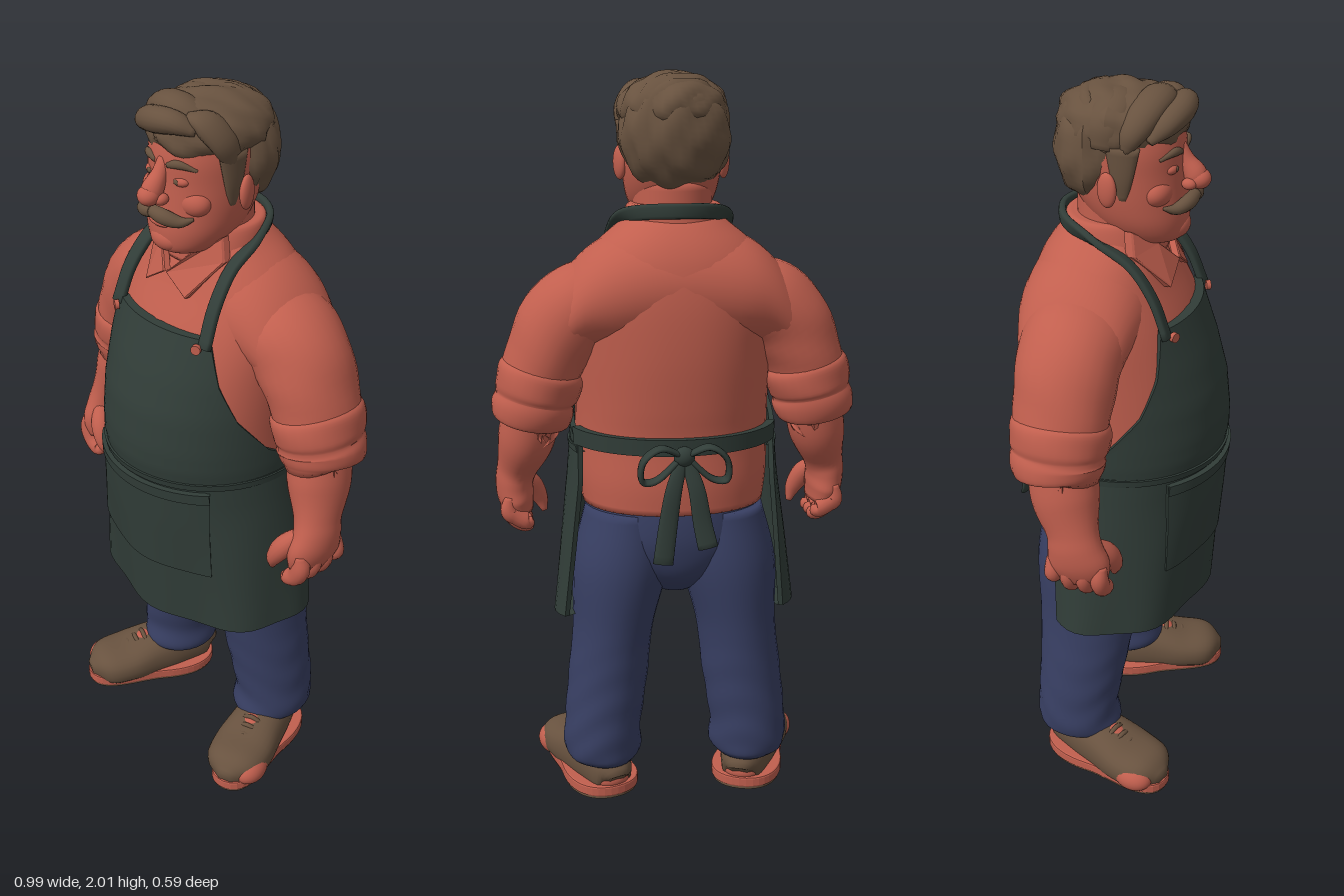
import * as THREE from 'three';
import { toCreasedNormals } from 'three/addons/utils/BufferGeometryUtils.js';

const V = (x, y, z) => new THREE.Vector3(x, y, z);
const UP = V(0, 1, 0), FRONT = V(0, 0, 1);

// Stitch closed rings of points into a skin, with fans at both ends.
function skin(rings) {
  const n = rings[0].length, last = (rings.length - 1) * n, idx = [];
  const pts = rings.flat();
  for (let i = 0; i < rings.length - 1; i++) for (let j = 0; j < n; j++) {
    const a = i * n + j, b = i * n + (j + 1) % n;
    idx.push(a, a + n, b, b, a + n, b + n);
  }
  const mid = ring => ring.reduce((m, p) => m.add(p), V(0, 0, 0)).divideScalar(n);
  const c = pts.length;
  pts.push(mid(rings[0]), mid(rings[rings.length - 1]));
  for (let j = 0; j < n; j++) {
    const k = (j + 1) % n;
    idx.push(c, j, k, c + 1, last + k, last + j);
  }
  const g = new THREE.BufferGeometry().setFromPoints(pts);
  g.setIndex(idx);
  g.computeVertexNormals();
  return g;
}

// Smooth loft through sections [x, y, z, radiusA, radiusB].
function loft(secs, { axis, ref = FRONT, n = 28, steps = 5, power = 1, warp } = {}) {
  const path = new THREE.CatmullRomCurve3(secs.map(s => V(s[0], s[1], s[2])), false, 'catmullrom');
  const size = new THREE.CatmullRomCurve3(secs.map(s => V(s[3], s[4], 0)), false, 'catmullrom');
  const total = (secs.length - 1) * steps, rings = [];
  const round = v => Math.sign(v) * Math.abs(v) ** power;
  for (let i = 0; i <= total; i++) {
    const u = i / total, c = path.getPoint(u), r = size.getPoint(u);
    const t = axis || path.getPoint(Math.min(1, u + 0.01)).sub(path.getPoint(Math.max(0, u - 0.01))).normalize();
    const a = t.clone().cross(ref).normalize(), b = a.clone().cross(t);
    rings.push(Array.from({ length: n }, (_, j) => {
      const q = j / n * Math.PI * 2, k = warp ? warp(q, c) : 1;
      return c.clone().addScaledVector(a, round(Math.cos(q)) * r.x * k).addScaledVector(b, round(Math.sin(q)) * r.y * k);
    }));
  }
  return skin(rings);
}

// Wrapped cloth panel; rows from bottom to top: [y, rx, centreZ, rz, halfAngle].
function cloth(rows, { turn = 0, thick = 0.014, n = 40, fold = () => 0, steps = 4 } = {}) {
  const rings = [];
  for (let i = 0; i <= (rows.length - 1) * steps; i++) {
    const k = Math.min(Math.floor(i / steps), rows.length - 2), f = i / steps - k;
    const [y, rx, cz, rz, half] = rows[k].map((v, m) => v + (rows[k + 1][m] - v) * f);
    const at = (j, d) => {
      const q = turn + half * (2 * j / n - 1), e = fold(q, y) - d;
      return V((rx + e) * Math.sin(q), y, cz + (rz + e) * Math.cos(q));
    };
    const out = Array.from({ length: n + 1 }, (_, j) => at(n - j, 0));
    const inn = Array.from({ length: n + 1 }, (_, j) => at(j, thick));
    rings.push([...out, ...inn]);
  }
  return toCreasedNormals(skin(rings), 0.7);
}

export function createModel() {
  const root = new THREE.Group();
  const paint = (name, color) => Object.assign(new THREE.MeshStandardMaterial({ color }), { name });
  const coral = paint('coral', 0xc15f4e), green = paint('dark green', 0x313d38);
  const navy = paint('navy', 0x383f63), brown = paint('brown', 0x68523f);
  green.side = THREE.DoubleSide;

  const add = (name, geo, mat, parent = root) => {
    const m = new THREE.Mesh(geo, mat);
    m.name = name;
    parent.add(m);
    return m;
  };
  const ball = (name, mat, p, r, parent = root, bump) => {
    const g = new THREE.SphereGeometry(1, 40, 28), pos = g.attributes.position;
    if (bump) {
      for (let i = 0; i < pos.count; i++) {
        const v = V(0, 0, 0).fromBufferAttribute(pos, i);
        v.multiplyScalar(1 + bump(v));
        pos.setXYZ(i, v.x, v.y, v.z);
      }
      g.computeVertexNormals();
    }
    g.scale(...r);
    const m = add(name, g, mat, parent);
    m.position.set(...p);
    return m;
  };
  const upright = (name, rows, mat, opt = {}) =>
    add(name, loft(rows.map(([y, rx, zf, zb]) => [0, y, (zf + zb) / 2, rx, (zf - zb) / 2]), { axis: UP, n: 48, ...opt }), mat);

  // Shirt body and trousers seat: [y, half width, front z, back z]
  upright('shirt', [[0.85, 0.25, 0.2, -0.215], [0.93, 0.262, 0.24, -0.218], [1.04, 0.265, 0.262, -0.212], [1.14, 0.265, 0.262, -0.224],
    [1.27, 0.268, 0.235, -0.236], [1.4, 0.27, 0.185, -0.236], [1.5, 0.25, 0.135, -0.222], [1.56, 0.205, 0.11, -0.2],
    [1.61, 0.145, 0.09, -0.165], [1.64, 0.11, 0.08, -0.13]], coral, { power: 0.92 });
  // Sloping yoke that joins both sleeves to the body
  const yoke = [[0.345, 1.31, -0.05, 0.1, 0.112], [0.25, 1.405, -0.054, 0.125, 0.147], [0.15, 1.435, -0.055, 0.155, 0.17]];
  add('shirtYoke', loft([...yoke.map(([x, ...r]) => [-x, ...r]), [0, 1.45, -0.055, 0.165, 0.175], ...yoke.reverse()], { axis: V(1, 0, 0), n: 36 }), coral);
  upright('trouserSeat', [[0.6, 0.06, 0.03, -0.11], [0.66, 0.14, 0.09, -0.175], [0.74, 0.235, 0.13, -0.2], [0.82, 0.245, 0.17, -0.203], [0.92, 0.235, 0.18, -0.19]], navy);

  // Neck, collar and head
  upright('neck', [[1.5, 0.1, 0.08, -0.11], [1.6, 0.105, 0.1, -0.12], [1.72, 0.105, 0.1, -0.12]], coral);
  upright('collarStand', [[1.57, 0.145, 0.115, -0.165], [1.61, 0.137, 0.11, -0.158], [1.655, 0.124, 0.085, -0.148], [1.66, 0.1, 0.07, -0.12]], coral);
  upright('head', [[1.598, 0.045, 0.13, 0.02], [1.615, 0.085, 0.16, -0.03], [1.66, 0.114, 0.168, -0.08], [1.72, 0.128, 0.163, -0.12],
    [1.79, 0.132, 0.158, -0.14], [1.86, 0.13, 0.155, -0.14], [1.93, 0.11, 0.13, -0.12], [1.965, 0.05, 0.07, -0.06]], coral, { power: 0.94 });
  ball('chin', coral, [0, 1.638, 0.14], [0.05, 0.033, 0.033]);
  ball('lowerLip', coral, [0, 1.687, 0.163], [0.035, 0.011, 0.014]);
  add('noseBridge', loft([[0, 1.85, 0.14, 0.018, 0.016], [0, 1.81, 0.16, 0.021, 0.021], [0, 1.772, 0.185, 0.028, 0.03], [0, 1.745, 0.18, 0.018, 0.018]], { n: 18 }), coral);
  ball('noseTip', coral, [0, 1.765, 0.195], [0.029, 0.026, 0.029]);

  // Hair: wavy cap, back volume and a parted, swept front
  const waves = v => 0.04 * Math.sin(9 * v.x + 5 * v.z) * Math.cos(7 * v.y - 4 * v.z) + 0.025 * Math.sin(13 * v.z + 6 * v.x);
  ball('hairTop', brown, [0, 1.9, -0.005], [0.143, 0.092, 0.165], root, waves);
  ball('hairBack', brown, [0, 1.835, -0.06], [0.146, 0.148, 0.117], root, waves);
  const sweep = (...secs) => add('hairLock', loft(secs, { n: 18 }), brown);
  sweep([0.085, 1.93, 0.115, 0.012, 0.016], [0.04, 1.946, 0.142, 0.028, 0.032], [-0.02, 1.94, 0.15, 0.033, 0.034],
    [-0.08, 1.92, 0.128, 0.028, 0.032], [-0.115, 1.885, 0.1, 0.008, 0.01]);
  sweep([0.06, 1.945, 0.07, 0.02, 0.03], [0, 1.961, 0.09, 0.033, 0.045], [-0.07, 1.948, 0.08, 0.034, 0.045],
    [-0.12, 1.905, 0.06, 0.028, 0.034], [-0.135, 1.86, 0.045, 0.008, 0.012]);
  sweep([0.03, 1.955, -0.01, 0.02, 0.03], [-0.05, 1.957, 0, 0.03, 0.05], [-0.11, 1.92, -0.01, 0.03, 0.05], [-0.132, 1.86, -0.015, 0.012, 0.03]);
  sweep([0.05, 1.955, 0.115, 0.012, 0.02], [0.088, 1.945, 0.09, 0.026, 0.04], [0.122, 1.9, 0.06, 0.024, 0.04], [0.13, 1.845, 0.035, 0.012, 0.025]);

  // Apron with folds towards the hem
  const fold = (q, y) => 0.009 * Math.max(0, (0.9 - y) / 0.36) * Math.sin(7 * q + 1);
  add('apronSkirt', cloth([[0.536, 0.336, 0, 0.245, 2], [0.75, 0.313, 0, 0.262, 2], [0.92, 0.292, 0, 0.272, 1.98], [1.02, 0.283, 0.005, 0.275, 1.92]], { fold }), green);
  add('apronBib', cloth([[1.0, 0.28, 0.008, 0.272, 1.9], [1.05, 0.283, 0.008, 0.28, 1.75], [1.1, 0.283, 0.008, 0.28, 1.45], [1.2, 0.284, 0, 0.277, 1.1],
    [1.3, 0.285, -0.01, 0.258, 0.86], [1.42, 0.285, -0.02, 0.222, 0.67]]), green);
  add('waistSeam', cloth([[1.0, 0.287, 0.006, 0.279, 1.92], [1.018, 0.288, 0.007, 0.282, 1.9]], { thick: 0.012 }), green);
  add('apronPocket', cloth([[0.72, 0.322, 0, 0.265, 0.77], [0.86, 0.308, 0, 0.279, 0.8], [0.99, 0.297, 0, 0.289, 0.84]], { fold, thick: 0.016 }), green);
  add('pocketHem', cloth([[0.962, 0.304, 0, 0.291, 0.83], [0.992, 0.301, 0, 0.294, 0.83]], { thick: 0.01 }), green);
  add('waistTie', cloth([[1.02, 0.285, 0, 0.232, 1.32], [1.065, 0.285, 0, 0.234, 1.35]], { turn: Math.PI, thick: 0.018 }), green);
  const strap = [[0.17, 1.4, 0.168], [0.163, 1.5, 0.127], [0.152, 1.58, 0.06], [0.138, 1.625, -0.04], [0.09, 1.645, -0.125]];
  add('neckStrap', loft([...strap, [0, 1.65, -0.16], ...strap.map(([x, y, z]) => [-x, y, z]).reverse()].map(p => [...p, 0.02, 0.01]), { n: 16, power: 0.6 }), green);
  ball('bowKnot', green, [0, 1.025, -0.25], [0.028, 0.027, 0.022]);

  // Everything that comes in pairs; s is the side
  for (const s of [1, -1]) {
    const pair = (name, secs, mat, opt, parent) => add(name, loft(secs.map(([x, ...r]) => [s * x, ...r]), opt), mat, parent);

    // Face
    ball('ear', coral, [s * 0.138, 1.762, 0.0], [0.015, 0.045, 0.028]).rotation.y = s * 0.35;
    ball('cheek', coral, [s * 0.06, 1.745, 0.105], [0.055, 0.04, 0.04]);
    ball('nostril', coral, [s * 0.024, 1.757, 0.175], [0.016, 0.015, 0.019]);
    ball('eye', coral, [s * 0.05, 1.802, 0.133], [0.026, 0.015, 0.02]);
    ball('iris', brown, [s * 0.05, 1.802, 0.151], [0.008, 0.007, 0.004]);
    pair('eyebrow', [[0.022, 1.838, 0.153, 0.007, 0.006], [0.055, 1.847, 0.147, 0.011, 0.009], [0.092, 1.834, 0.118, 0.004, 0.005]], brown, { n: 12 });
    pair('moustache', [[-0.004, 1.722, 0.184, 0.016, 0.016], [0.035, 1.715, 0.178, 0.02, 0.019], [0.068, 1.705, 0.155, 0.014, 0.015], [0.09, 1.712, 0.13, 0.004, 0.005]], brown, { n: 16 });
    pair('sideburn', [[0.124, 1.735, 0.035, 0.006, 0.012], [0.128, 1.79, 0.035, 0.012, 0.028], [0.126, 1.87, 0.035, 0.018, 0.045]], brown, { n: 16, axis: UP });

    // Collar flap bent over the chest
    const flap = new THREE.Shape([[0.006, 1.545], [0.075, 1.5], [0.128, 1.59], [0.112, 1.645], [0.06, 1.605]].map(([x, y]) => new THREE.Vector2(s * x, y)));
    const fg = new THREE.ExtrudeGeometry(flap, { depth: 0.018, bevelSize: 0.003, bevelThickness: 0.003, bevelSegments: 1 });
    const fp = fg.attributes.position;
    for (let i = 0; i < fp.count; i++) {
      const x = fp.getX(i), y = fp.getY(i);
      fp.setZ(i, fp.getZ(i) + 0.095 + (1.62 - y) * 0.45 - x * x * 3.6);
    }
    fg.computeVertexNormals();
    add('collarFlap', fg, coral);

    // Sleeve, rolled cuff, forearm and hand
    const crease = (q, c) => 1 + 0.012 * Math.sin(q * 3 + c.y * 60);
    pair('sleeve', [[0.14, 1.43, -0.05, 0.08, 0.1], [0.23, 1.405, -0.05, 0.115, 0.135], [0.3, 1.345, -0.05, 0.12, 0.133],
      [0.35, 1.25, -0.05, 0.107, 0.126], [0.385, 1.14, -0.05, 0.1, 0.115]], coral, { warp: crease });
    pair('rolledCuff', [[0.352, 1.24, -0.05, 0.098, 0.112], [0.358, 1.218, -0.05, 0.115, 0.13], [0.372, 1.168, -0.05, 0.113, 0.129], [0.377, 1.148, -0.05, 0.106, 0.122],
      [0.382, 1.125, -0.05, 0.111, 0.124], [0.388, 1.092, -0.045, 0.102, 0.112], [0.389, 1.088, -0.045, 0.07, 0.08]], coral, { warp: crease });
    pair('forearm', [[0.385, 1.12, -0.04, 0.078, 0.09], [0.402, 1.03, -0.025, 0.077, 0.09], [0.426, 0.95, 0, 0.057, 0.07],
      [0.436, 0.905, 0.01, 0.052, 0.074], [0.434, 0.86, 0.018, 0.05, 0.085], [0.425, 0.815, 0.02, 0.04, 0.075]], coral);
    for (let i = 0; i < 4; i++) {
      const z = -0.045 + i * 0.042, d = i === 0 ? 0.02 : 0;
      pair('finger', [[0.45, 0.87, z, 0.015, 0.018], [0.452, 0.83, z, 0.026, 0.024], [0.435, 0.795 + d, z, 0.026, 0.024],
        [0.405, 0.778 + d, z, 0.023, 0.023], [0.39, 0.785 + d, z, 0.008, 0.01]], coral, { n: 14 });
    }
    pair('thumb', [[0.42, 0.91, 0.05, 0.02, 0.025], [0.39, 0.87, 0.08, 0.03, 0.03], [0.365, 0.825, 0.092, 0.023, 0.023], [0.352, 0.785, 0.088, 0.008, 0.008]], coral, { n: 16 });

    // Trouser leg with wrinkles at knee and ankle
    const wrinkle = (q, c) => 1 + 0.025 * Math.max(0, 1 - c.y / 0.5) * Math.sin(c.y * 60 + 3 * Math.sin(q + s) + 2 * Math.cos(2 * q));
    pair('trouserLeg', [[0.205, 0.1, -0.07, 0.09, 0.1], [0.208, 0.125, -0.068, 0.108, 0.12], [0.208, 0.2, -0.072, 0.108, 0.118], [0.19, 0.35, -0.06, 0.112, 0.127],
      [0.173, 0.5, -0.05, 0.113, 0.14], [0.148, 0.68, -0.045, 0.135, 0.155], [0.125, 0.84, -0.03, 0.12, 0.15]], navy, { axis: UP, steps: 8, warp: wrinkle });

    // Shoe, turned outwards
    const shoe = new THREE.Group();
    shoe.name = 'shoe';
    shoe.position.set(s * 0.245, 0, 0.035);
    shoe.rotation.y = s * 0.36;
    root.add(shoe);
    const outline = new THREE.Shape();
    outline.moveTo(0, 0.2);
    outline.bezierCurveTo(0.085, 0.2, 0.112, 0.12, 0.085, 0.02);
    outline.bezierCurveTo(0.065, -0.05, 0.088, -0.2, 0, -0.2);
    outline.bezierCurveTo(-0.088, -0.2, -0.065, -0.05, -0.085, 0.02);
    outline.bezierCurveTo(-0.112, 0.12, -0.085, 0.2, 0, 0.2);
    const slab = (depth, bevel) => new THREE.ExtrudeGeometry(outline, { depth, bevelSize: bevel, bevelThickness: bevel, bevelSegments: 2 }).rotateX(-Math.PI / 2);
    add('welt', slab(0.02, 0.005), coral, shoe).position.y = 0.012;
    add('soleBottom', slab(0.008, 0), brown, shoe);
    pair('shoeUpper', [[0, 0.05, -0.196, 0.02, 0.02], [0, 0.06, -0.178, 0.055, 0.06], [0, 0.07, -0.09, 0.075, 0.075], [0, 0.066, -0.01, 0.083, 0.075],
      [0, 0.058, 0.08, 0.092, 0.06], [0, 0.052, 0.155, 0.078, 0.054], [0, 0.045, 0.2, 0.02, 0.02]], brown, { ref: UP, power: 0.85 }, shoe);
    ball('toePatch', coral, [s * 0.048, 0.05, 0.125], [0.047, 0.044, 0.062], shoe);
    ball('heelPatch', coral, [0, 0.045, -0.165], [0.05, 0.03, 0.035], shoe);
    ball('tongue', coral, [0, 0.118, 0.01], [0.036, 0.02, 0.04], shoe);
    for (let i = 0; i < 3; i++)
      pair('lace', [[-0.045, 0.112 - i * 0.008, 0.02 + i * 0.025, 0.006, 0.006], [0, 0.139 - i * 0.012, 0.025 + i * 0.025, 0.007, 0.007],
        [0.045, 0.112 - i * 0.008, 0.02 + i * 0.025, 0.006, 0.006]], brown, { n: 8 }, shoe);

    // Strap button, bow loop and bow tail
    const button = add('strapButton', new THREE.CylinderGeometry(0.013, 0.013, 0.012, 18).rotateX(Math.PI / 2), coral);
    button.position.set(s * 0.158, 1.4, 0.184);
    button.rotation.y = s * 0.5;
    pair('bowLoop', [[0.01, 1.03, -0.25, 0.008, 0.014], [0.065, 1.055, -0.272, 0.008, 0.022], [0.11, 1.02, -0.268, 0.008, 0.025], [0.112, 0.965, -0.258, 0.008, 0.025],
      [0.07, 0.965, -0.25, 0.008, 0.022], [0.01, 1.02, -0.248, 0.008, 0.014]], green, { n: 12 });
    pair('bowTail', [[0.005, 1.02, -0.25, 0.016, 0.008], [0.03, 0.94, -0.268, 0.022, 0.008], [0.045, 0.85, -0.272, 0.025, 0.008], [0.06, s > 0 ? 0.74 : 0.78, -0.278, 0.027, 0.008]], green, { n: 12 });
  }
  return root;
}
